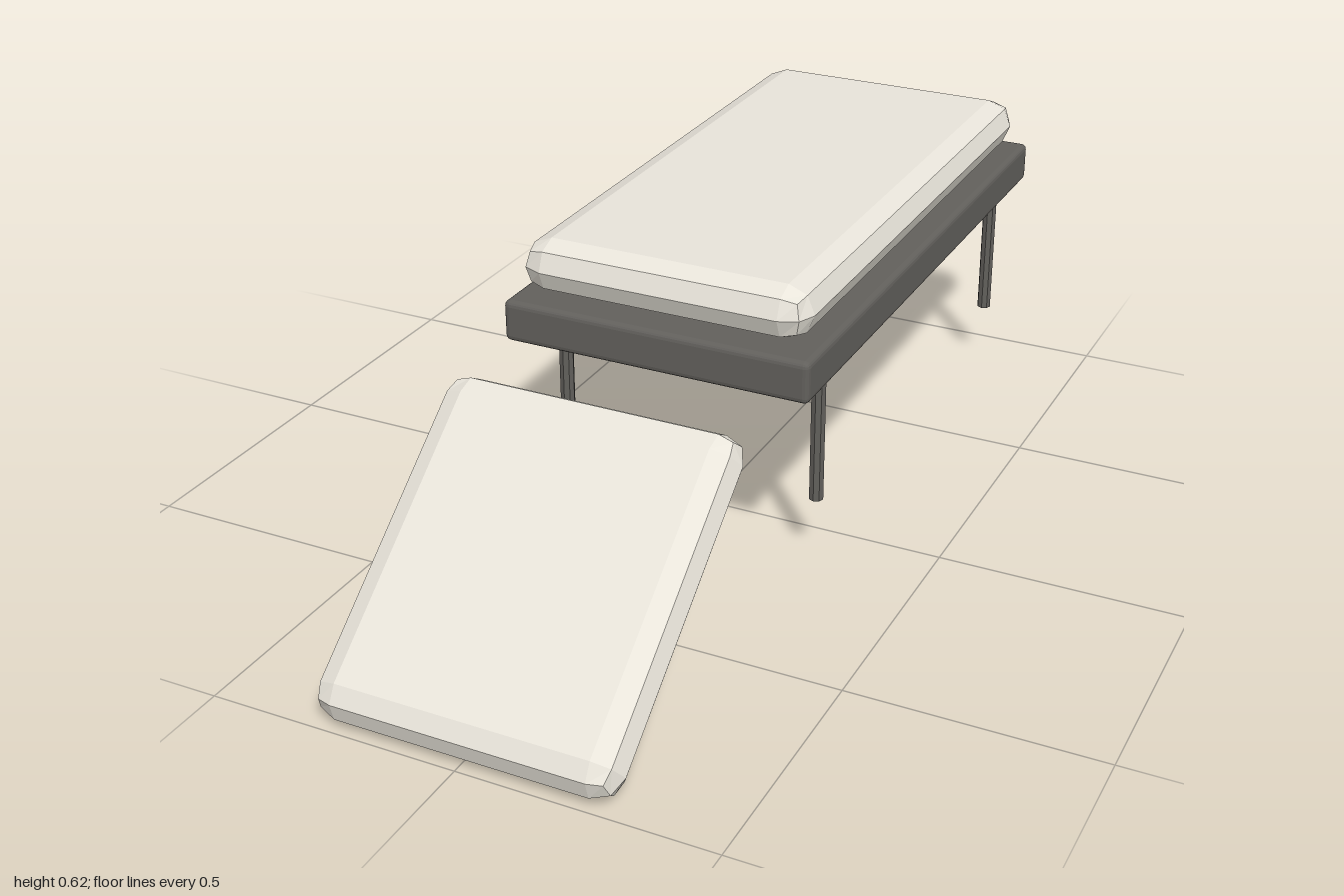
import * as THREE from 'three';
import { RoundedBoxGeometry } from 'three/addons/geometries/RoundedBoxGeometry.js';

const fabric = new THREE.MeshStandardMaterial({ color: 0xe8e4da, flatShading: true });
const metal = new THREE.MeshStandardMaterial({ color: 0x62605c, flatShading: true });

function addPart(parent, name, geometry, material, x, y, z) {
  const mesh = new THREE.Mesh(geometry, material);
  mesh.name = name;
  mesh.position.set(x, y, z);
  parent.add(mesh);
  return mesh;
}

export function createModel() {
  const model = new THREE.Group();
  model.name = 'lounger';

  // Slab frame under the seat
  addPart(model, 'frame', new RoundedBoxGeometry(0.64, 0.085, 1.26, 2, 0.012), metal, 0, 0.4595, -0.37);

  // Seat cushion floating just above the frame, with faceted round edges
  addPart(model, 'seatCushion', new RoundedBoxGeometry(0.602, 0.107, 1.216, 1, 0.0535), fabric, 0, 0.5665, -0.365);

  // Separate cushion, sloping down towards the front
  const back = addPart(model, 'tiltedCushion', new RoundedBoxGeometry(0.602, 0.1, 0.675, 1, 0.05), fabric, 0, 0.2285, 0.723);
  back.rotation.x = THREE.MathUtils.degToRad(38.6);

  // Four thin round legs, sunk slightly into the frame
  const legGeometry = new THREE.CylinderGeometry(0.015, 0.015, 0.299, 8);
  for (const [end, z] of [['front', 0.1], ['back', -0.89]]) {
    for (const [side, x] of [['Left', 0.275], ['Right', -0.275]]) {
      addPart(model, `${end}${side}Leg`, legGeometry, metal, x, 0.2805, z);
    }
  }
  return model;
}
